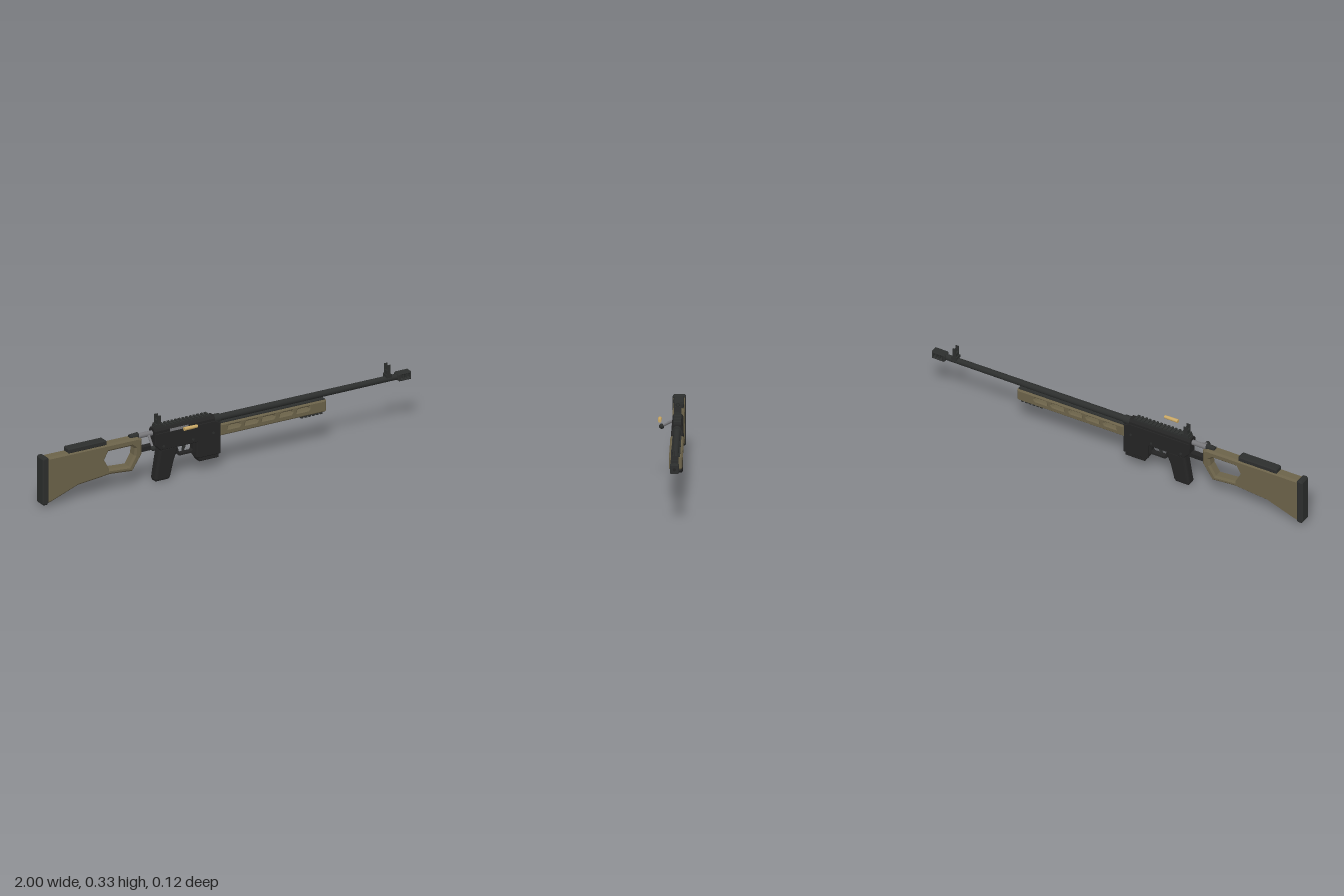
import * as THREE from 'three';

const mat = (name, color) => {
  const m = new THREE.MeshStandardMaterial({ color });
  m.name = name;
  return m;
};

export function createModel() {
  const olive = mat('olive furniture', 0x6b6249);
  const black = mat('black receiver', 0x242424);
  const dark = mat('dark metal', 0x2c2e2d);
  const grey = mat('bolt steel', 0x77777a);
  const brass = mat('brass', 0xc9a866);

  const root = new THREE.Group();
  root.name = 'rifle';
  const gun = new THREE.Group();
  gun.name = 'rifleBody';
  gun.position.z = -0.029;
  root.add(gun);

  const add = (name, geo, material, x = 0, y = 0, z = 0, parent = gun) => {
    const mesh = new THREE.Mesh(geo, material);
    mesh.name = name;
    mesh.position.set(x, y, z);
    parent.add(mesh);
    return mesh;
  };
  const toPoints = (pts) => pts.map(([x, y]) => new THREE.Vector2(x, y));

  // Side outline given thickness, with chamfered edges and optional holes
  const slab = (pts, width, bevel = 0, holes = [], segments = 1) => {
    const shape = new THREE.Shape(toPoints(pts));
    holes.forEach((h) => shape.holes.push(new THREE.Path(toPoints(h))));
    const geo = new THREE.ExtrudeGeometry(shape, {
      depth: width - 2 * bevel, bevelEnabled: bevel > 0, bevelSize: bevel,
      bevelThickness: bevel, bevelOffset: -bevel, bevelSegments: segments,
    });
    return geo.translate(0, 0, bevel - width / 2);
  };
  const rect = (x0, x1, y0, y1) => [[x0, y0], [x1, y0], [x1, y1], [x0, y1]];

  // Box from x and y ranges
  const box = (name, material, x0, x1, y0, y1, width, z = 0) =>
    add(name, new THREE.BoxGeometry(x1 - x0, y1 - y0, width), material, (x0 + x1) / 2, (y0 + y1) / 2, z);

  // Cylinder lying along x
  const rod = (name, material, x0, x1, y, r0, r1 = r0, z = 0, sides = 16, parent = gun) =>
    add(name, new THREE.CylinderGeometry(r1, r0, x1 - x0, sides).rotateZ(-Math.PI / 2),
      material, (x0 + x1) / 2, y, z, parent);

  // Thumbhole stock, butt pad and cheek rest
  add('stock', slab(
    [[-0.972, 0.248], [-0.972, 0.018], [-0.95, 0.022], [-0.805, 0.075], [-0.63, 0.093], [-0.51, 0.083],
      [-0.46, 0.158], [-0.46, 0.235], [-0.48, 0.246]],
    0.054, 0.009,
    [[[-0.64, 0.21], [-0.515, 0.21], [-0.497, 0.195], [-0.5, 0.16], [-0.53, 0.112], [-0.635, 0.12], [-0.662, 0.17]]],
  ), olive);
  add('buttPad', slab(
    [[-1, 0.022], [-0.993, 0.014], [-0.974, 0.014], [-0.968, 0.022], [-0.968, 0.245], [-0.975, 0.253],
      [-0.993, 0.253], [-1, 0.245]], 0.062, 0.006), dark);
  add('cheekRest', slab(
    [[-0.857, 0.243], [-0.65, 0.243], [-0.65, 0.264], [-0.656, 0.269], [-0.851, 0.269], [-0.857, 0.264]],
    0.048, 0.005), dark);
  box('stockTang', black, -0.468, -0.37, 0.165, 0.187, 0.03);

  // Receiver and magazine
  add('lowerReceiver', slab(
    [[-0.39, 0.245], [-0.39, 0.185], [-0.36, 0.155], [-0.165, 0.155], [-0.165, 0.08], [-0.155, 0.073],
      [-0.035, 0.073], [-0.035, 0.228], [-0.065, 0.245]], 0.054, 0.004), black);
  add('magazine', slab(
    [[-0.16, 0.1], [-0.16, 0.074], [-0.147, 0.054], [-0.043, 0.054], [-0.043, 0.1]], 0.046, 0.004), black);
  const upper = new THREE.Shape(toPoints(
    [[-0.025, 0.22], [0.025, 0.22], [0.025, 0.255], [0.016, 0.268], [-0.016, 0.268], [-0.025, 0.255]]));
  add('upperReceiver', new THREE.ExtrudeGeometry(upper, { depth: 0.328, bevelEnabled: false })
    .rotateY(Math.PI / 2), black, -0.393);
  rod('barrelNut', dark, -0.067, -0.03, 0.244, 0.021);
  [[-0.345, 0.175], [-0.185, 0.175], [-0.075, 0.185]].forEach(([x, y]) =>
    add('receiverPin', new THREE.CylinderGeometry(0.006, 0.006, 0.058, 12).rotateX(Math.PI / 2), dark, x, y));

  // Top rail with teeth
  box('topRail', dark, -0.385, -0.085, 0.266, 0.273, 0.034);
  for (let i = 0; i < 15; i++) {
    const x = -0.382 + i * 0.02;
    box('railTooth', dark, x, x + 0.011, 0.272, 0.279, 0.036);
  }

  // Ejection port, bolt and handle
  box('ejectionPort', grey, -0.31, -0.21, 0.238, 0.255, 0.006, 0.0235);
  rod('bolt', grey, -0.475, -0.39, 0.243, 0.0125);
  rod('boltShroud', dark, -0.515, -0.47, 0.248, 0.012, 0.015);
  const handle = new THREE.LineCurve3(
    new THREE.Vector3(-0.413, 0.24, 0.004), new THREE.Vector3(-0.43, 0.201, 0.073));
  add('boltHandle', new THREE.TubeGeometry(handle, 1, 0.006, 10), grey);
  add('boltKnob', new THREE.SphereGeometry(0.0125, 14, 10), dark, -0.43, 0.2, 0.076);

  // Grip, trigger and guard
  add('grip', slab(
    [[-0.362, 0.165], [-0.37, 0.12], [-0.388, 0.012], [-0.382, 0.001], [-0.315, 0.001], [-0.305, 0.01],
      [-0.285, 0.09], [-0.268, 0.13], [-0.262, 0.165]], 0.05, 0.012, [], 3), black);
  add('triggerGuard', slab(
    [[-0.285, 0.16], [-0.262, 0.112], [-0.252, 0.103], [-0.16, 0.103], [-0.16, 0.16]], 0.026, 0,
    [[[-0.262, 0.153], [-0.252, 0.118], [-0.246, 0.112], [-0.185, 0.112], [-0.178, 0.12], [-0.178, 0.153]]]), black);
  add('trigger', slab(
    [[-0.235, 0.157], [-0.227, 0.138], [-0.23, 0.12], [-0.222, 0.12], [-0.214, 0.138], [-0.213, 0.157]], 0.01), dark);

  // Handguard with slanted through slots
  const slots = [0.035, 0.13, 0.222, 0.318, 0.41].map((x) =>
    [[x - 0.033, 0.191], [x + 0.026, 0.191], [x + 0.033, 0.199], [x + 0.033, 0.207], [x - 0.026, 0.207], [x - 0.033, 0.199]]);
  add('handguard', slab(
    [[-0.038, 0.163], [0.53, 0.163], [0.535, 0.168], [0.535, 0.222], [-0.038, 0.222]], 0.062, 0.006, slots), olive);
  box('handguardChannel', dark, -0.036, 0.532, 0.219, 0.226, 0.042);
  box('lowerRail', dark, 0.405, 0.522, 0.156, 0.165, 0.032);
  for (let i = 0; i < 6; i++) {
    const x = 0.406 + i * 0.0205;
    box('lowerRailTooth', dark, x, x + 0.012, 0.15, 0.157, 0.034);
  }

  // Barrel and slotted muzzle brake
  rod('barrel', dark, -0.06, 0.94, 0.244, 0.0165, 0.0145);
  add('muzzleBrake', slab(
    [[0.93, 0.23], [0.936, 0.225], [1, 0.225], [1, 0.263], [0.936, 0.263], [0.93, 0.258]], 0.042, 0.003,
    [0.945, 0.963, 0.981].map((x) => rect(x, x + 0.012, 0.234, 0.254))), dark);
  add('muzzleBore', new THREE.CircleGeometry(0.0075, 16).rotateY(Math.PI / 2), black, 1.0004, 0.244);

  // Sights: base, tower and a pair of protective ears
  const sight = (name, x, base, earTop, length) => {
    box(name + 'Base', dark, x - length, x + length, base, base + 0.016, 0.036);
    box(name + 'Tower', dark, x - length * 0.6, x + length * 0.6, base + 0.01, base + 0.035, 0.026);
    [-1, 1].forEach((s) =>
      box(name + 'Ear', dark, x - length * 0.55, x + length * 0.55, base + 0.01, earTop, 0.004, s * 0.0145));
  };
  sight('frontSight', 0.882, 0.254, 0.318, 0.014);
  box('frontSightPost', dark, 0.879, 0.885, 0.28, 0.312, 0.004);
  sight('rearSight', -0.362, 0.27, 0.328, 0.017);
  add('rearAperture', new THREE.TorusGeometry(0.0075, 0.003, 8, 18).rotateY(Math.PI / 2), dark, -0.362, 0.315);

  // Loose ejected cartridge case
  const cartridge = new THREE.Group();
  cartridge.name = 'cartridge';
  cartridge.position.set(0, 0.265, 0.053);
  root.add(cartridge);
  rod('caseRim', brass, -0.267, -0.262, 0, 0.0095, 0.0095, 0, 12, cartridge);
  rod('caseBody', brass, -0.262, -0.216, 0, 0.009, 0.0085, 0, 12, cartridge);
  rod('caseNeck', brass, -0.216, -0.195, 0, 0.0085, 0.0075, 0, 12, cartridge);

  return root;
}
